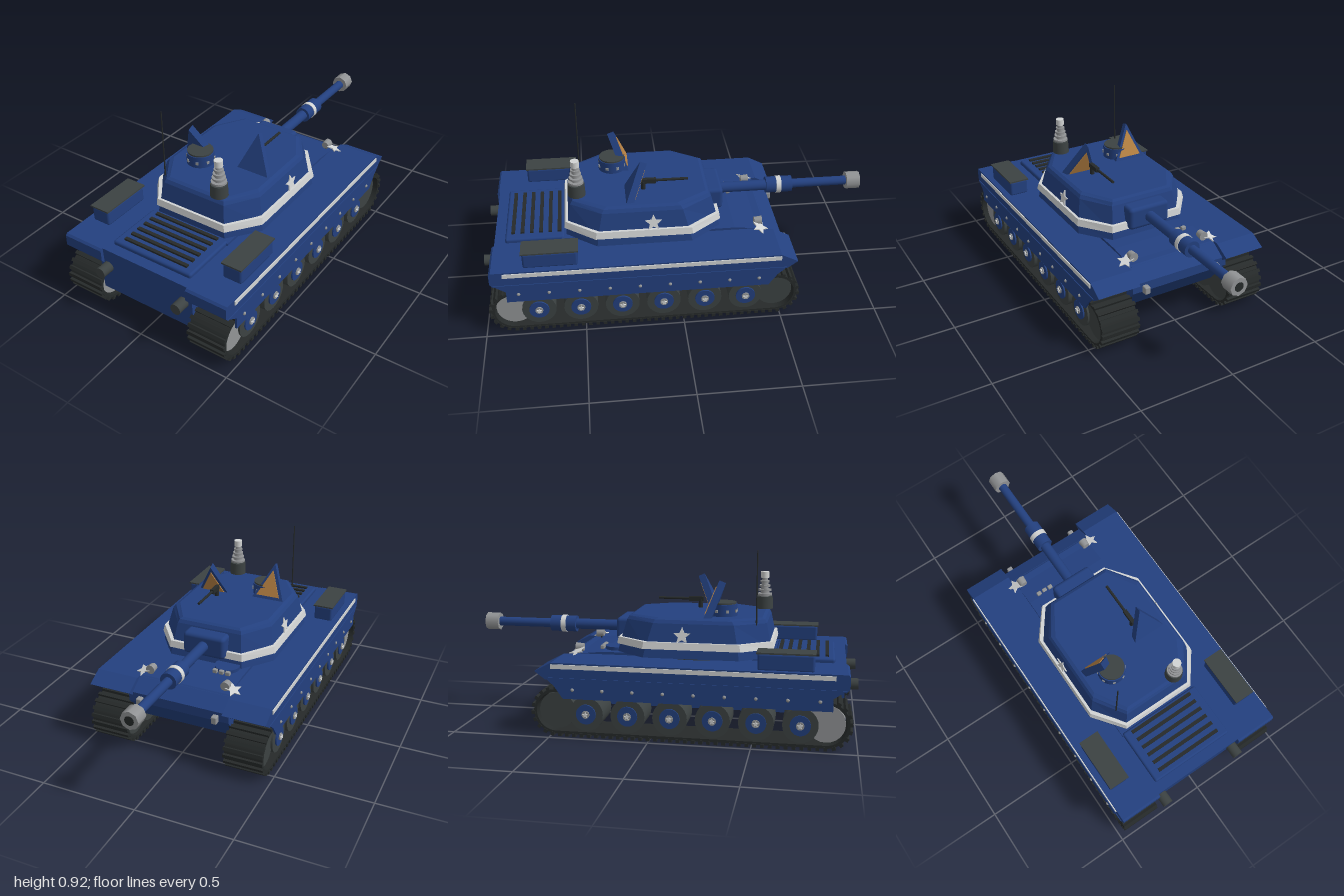
import * as THREE from 'three';
import { RoundedBoxGeometry } from 'three/addons/geometries/RoundedBoxGeometry.js';

const mat = (name, color) => Object.assign(new THREE.MeshStandardMaterial({ color }), { name });

export function createModel() {
  const blue = mat('navy paint', 0x23407f);
  const rubber = mat('dark rubber', 0x3c4242);
  const iron = mat('track iron', 0x262a2a);
  const steel = mat('steel', 0x929496);
  const white = mat('pale paint', 0xd2d4d4);
  const tan = mat('tan lining', 0xb98344);

  const model = new THREE.Group();
  model.name = 'tank';

  const add = (name, geo, material, x = 0, y = 0, z = 0) => {
    const m = new THREE.Mesh(geo, material);
    m.name = name;
    m.position.set(x, y, z);
    model.add(m);
    return m;
  };
  const box = (name, material, w, h, d, x, y, z) => add(name, new THREE.BoxGeometry(w, h, d), material, x, y, z);
  const rbox = (name, material, w, h, d, x, y, z, r = 0.012) =>
    add(name, new RoundedBoxGeometry(w, h, d, 2, r), material, x, y, z);
  // Cylinders lying along z, along x, or standing
  const cyl = (name, material, axis, r, len, x, y, z, r2 = r, sides = 24) => {
    const g = new THREE.CylinderGeometry(r2, r, len, sides);
    if (axis === 'z') g.rotateX(-Math.PI / 2);
    if (axis === 'x') g.rotateZ(Math.PI / 2);
    return add(name, g, material, x, y, z);
  };
  const shapeOf = pts => new THREE.Shape(pts.map(p => new THREE.Vector2(p[0], p[1])));
  // Side profile of [z, y] points swept between x0 and x1
  const prism = (name, material, pts, x0, x1) => {
    const g = new THREE.ExtrudeGeometry(shapeOf(pts), { depth: x1 - x0, bevelEnabled: false });
    g.rotateY(-Math.PI / 2);
    g.translate(x1, 0, 0);
    return add(name, g, material);
  };
  // Stack of chamfered rectangles [y, halfWidth, zMin, zMax], capped at both ends
  const loft = (name, material, rings) => {
    const pts = rings.map(([y, w, a, b]) => {
      const c = 0.115 * w / 0.31, d = 0.155;
      return [[w - c, a], [w, a + d], [w, b - d], [w - c, b], [c - w, b], [-w, b - d], [-w, a + d], [c - w, a]]
        .map(([x, z]) => [x, y, z]);
    });
    const pos = [];
    const tri = (...v) => v.forEach(p => pos.push(...p));
    for (let k = 0; k < pts.length - 1; k++) {
      for (let i = 0; i < 8; i++) {
        const j = (i + 1) % 8, A = pts[k], B = pts[k + 1];
        tri(A[i], B[i], B[j]);
        tri(A[i], B[j], A[j]);
      }
    }
    const lo = pts[0], hi = pts[pts.length - 1];
    for (let i = 1; i < 7; i++) {
      tri(lo[0], lo[i], lo[i + 1]);
      tri(hi[0], hi[i + 1], hi[i]);
    }
    const g = new THREE.BufferGeometry();
    g.setAttribute('position', new THREE.Float32BufferAttribute(pos, 3));
    g.computeVertexNormals();
    return add(name, g, material);
  };
  const star = (name, r, material, x, y, z) => {
    const pts = [];
    for (let i = 0; i < 10; i++) {
      const a = Math.PI / 2 + i * Math.PI / 5, q = i % 2 ? r * 0.45 : r;
      pts.push([Math.cos(a) * q, Math.sin(a) * q]);
    }
    return add(name, new THREE.ExtrudeGeometry(shapeOf(pts), { depth: 0.006, bevelEnabled: false }), material, x, y, z);
  };

  // Hull, engine deck with grille, driver's hatch
  prism('hull', blue, [[0.93, 0.125], [0.94, 0.375], [-0.45, 0.375], [-0.54, 0.32], [-0.54, 0.27], [-0.42, 0.125]], -0.272, 0.272);
  prism('frontDeck', blue, [[0.6, 0.37], [0.6, 0.388], [-0.29, 0.388], [-0.46, 0.37]], -0.235, 0.235);
  rbox('engineDeck', blue, 0.46, 0.04, 0.3, 0, 0.377, 0.735);
  for (let i = 0; i < 6; i++) box('grilleSlat', iron, 0.37, 0.012, 0.018, 0, 0.401, 0.61 + i * 0.047);
  cyl('turretRing', rubber, 'y', 0.29, 0.03, 0, 0.378, 0.18, 0.29, 32);
  cyl('driverHatch', blue, 'y', 0.065, 0.025, -0.13, 0.393, -0.23);
  for (let i = -1; i <= 1; i++) rbox('periscope', steel, 0.026, 0.022, 0.02, -0.13 + i * 0.035, 0.4, -0.305, 0.005);

  // Running gear path: straight runs joined by two half circles
  const R = 0.113, zr = 0.85, zf = -0.47, cy = 0.127, run = zr - zf;
  const total = 2 * run + 2 * Math.PI * R;
  const trackPoint = d => {
    const arc = Math.PI * R;
    if (d < run) return [zr - d, cy - R, -Math.PI / 2];
    if ((d -= run) < arc) { const a = -Math.PI / 2 - d / R; return [zf + R * Math.cos(a), cy + R * Math.sin(a), a]; }
    if ((d -= arc) < run) return [zf + d, cy + R, Math.PI / 2];
    const a = Math.PI / 2 - (d - run) / R;
    return [zr + R * Math.cos(a), cy + R * Math.sin(a), a];
  };
  const loop = r => (p => {
    p.absarc(zr, cy, r, -Math.PI / 2, Math.PI / 2, false);
    p.absarc(zf, cy, r, Math.PI / 2, Math.PI * 1.5, false);
    return p;
  });

  for (const s of [-1, 1]) {
    // Track band with cleats
    const band = loop(R)(new THREE.Shape());
    band.holes.push(loop(R - 0.014)(new THREE.Path()));
    const bg = new THREE.ExtrudeGeometry(band, { depth: 0.2, bevelEnabled: false, curveSegments: 18 });
    bg.rotateY(-Math.PI / 2);
    add('track', bg, iron, s * 0.367 + 0.1, 0, 0);
    const count = 90;
    for (let i = 0; i < count; i++) {
      const [z, y, a] = trackPoint(i * total / count);
      box('trackCleat', iron, 0.207, 0.018, 0.018, s * 0.367, y + 0.004 * Math.sin(a), z + 0.004 * Math.cos(a)).rotation.x = -a;
    }
    // Wheels
    cyl('driveSprocket', steel, 'x', 0.092, 0.16, s * 0.36, cy, zr);
    cyl('idlerWheel', rubber, 'x', 0.092, 0.16, s * 0.36, cy, zf);
    for (let i = 0; i < 6; i++) {
      const z = 0.73 - i * 0.21;
      cyl('roadWheel', rubber, 'x', 0.086, 0.17, s * 0.365, 0.115, z);
      cyl('wheelDisc', blue, 'x', 0.05, 0.18, s * 0.368, 0.115, z);
      cyl('wheelHub', steel, 'x', 0.02, 0.19, s * 0.369, 0.115, z, 0.02, 12);
      star('hubStar', 0.015, white, s * 0.464, 0.115, z).rotation.y = s * Math.PI / 2;
    }
    // Fender, side skirt, stripe and rivets
    const x0 = s > 0 ? 0.25 : -0.475, x1 = s > 0 ? 0.475 : -0.25;
    prism('fender', blue, [[0.94, 0.29], [0.955, 0.31], [0.955, 0.365], [0.945, 0.375], [-0.49, 0.375], [-0.575, 0.33], [-0.52, 0.29]], x0, x1);
    prism('sideSkirt', blue, [[0.88, 0.197], [0.88, 0.26], [0.94, 0.3], [-0.52, 0.3], [-0.475, 0.26], [-0.43, 0.197]],
      s > 0 ? 0.468 : -0.479, s > 0 ? 0.479 : -0.468);
    box('sideStripe', white, 0.008, 0.022, 1.38, s * 0.476, 0.357, 0.2);
    for (let i = 0; i < 9; i++)
      add('skirtRivet', new THREE.SphereGeometry(0.009, 8, 6), steel, s * 0.479, 0.243, 0.82 - i * 0.15);
    // Stowage box
    rbox('stowageBox', blue, 0.103, 0.085, 0.27, s * 0.392, 0.412, 0.655);
    box('stowageLid', rubber, 0.11, 0.008, 0.28, s * 0.392, 0.456, 0.655);
    // Exhaust, tow hook, headlight
    cyl('exhaust', rubber, 'z', 0.028, 0.07, s * 0.225, 0.275, 0.965);
    rbox('towHook', steel, 0.03, 0.04, 0.04, s * 0.205, 0.285, -0.55, 0.006);
    cyl('headlightStalk', iron, 'y', 0.005, 0.04, s * 0.205, 0.38, -0.41, 0.005, 8);
    cyl('headlight', steel, 'z', 0.02, 0.04, s * 0.205, 0.403, -0.415, 0.024, 16);
    const badge = star('deckStar', 0.045, white, s * 0.245, 0.386, -0.42);
    badge.rotation.set(-Math.PI / 2 - 0.3, s * 0.3, 0);
    // Turret star
    const ts = star('turretStar', 0.045, white, s * 0.299, 0.497, 0.135);
    ts.rotation.set(0, s * Math.PI / 2, 0);
    ts.rotateX(-0.2);
  }

  // Turret with pale band
  loft('turret', blue, [[0.385, 0.318, -0.215, 0.575], [0.43, 0.31, -0.205, 0.57], [0.555, 0.283, -0.17, 0.545], [0.572, 0.272, -0.16, 0.535], [0.58, 0.255, -0.145, 0.52]]);
  loft('turretBand', white, [[0.43, 0.323, -0.218, 0.583], [0.465, 0.316, -0.212, 0.576]]);

  // Gun
  rbox('mantlet', blue, 0.23, 0.12, 0.1, 0, 0.488, -0.195, 0.02);
  cyl('barrelBase', blue, 'z', 0.028, 0.3, 0, 0.488, -0.36);
  cyl('barrel', blue, 'z', 0.024, 0.46, 0, 0.488, -0.71);
  cyl('boreSleeve', blue, 'z', 0.043, 0.14, 0, 0.488, -0.56);
  cyl('boreBand', white, 'z', 0.046, 0.026, 0, 0.488, -0.558);
  cyl('muzzleBrake', steel, 'z', 0.047, 0.072, 0, 0.488, -0.964, 0.047, 8);
  cyl('muzzleBore', iron, 'z', 0.024, 0.004, 0, 0.488, -0.999, 0.024, 16);

  // Commander's cupola
  cyl('cupola', blue, 'y', 0.071, 0.065, -0.12, 0.608, 0.32);
  cyl('cupolaLid', rubber, 'y', 0.066, 0.012, -0.12, 0.643, 0.32);
  for (let i = 0; i < 8; i++) {
    const a = (i + 0.5) * Math.PI / 4;
    box('visionBlock', steel, 0.014, 0.014, 0.014, -0.12 + 0.068 * Math.sin(a), 0.607, 0.32 + 0.068 * Math.cos(a)).rotation.y = a;
  }

  // Triangular ears, lined on the gun side, one tipped back and one forward
  const ear = (name, x, lean, apex) => {
    const g = new THREE.Group();
    g.name = name;
    const tri = k => shapeOf([[-0.09 * k, 0], [0.09 * k, 0], [apex * k, 0.2 * k]]);
    const part = (label, k, depth, m, y, z) => {
      const p = new THREE.Mesh(new THREE.ExtrudeGeometry(tri(k), { depth, bevelEnabled: false }), m);
      p.name = label;
      p.position.set(0, y, z);
      g.add(p);
    };
    part('earShell', 1, 0.036, blue, 0, -0.018);
    part('earLining', 0.72, 0.006, tan, 0.02, -0.023);
    g.position.set(x, 0.57, 0.25);
    g.rotation.x = lean;
    model.add(g);
  };
  ear('rightEar', -0.16, 0.36, -0.015);
  ear('leftEar', 0.155, -0.42, -0.015);

  // Roof machine gun
  cyl('gunMount', iron, 'y', 0.012, 0.05, 0.11, 0.6, 0.17, 0.012, 12);
  box('gunReceiver', iron, 0.02, 0.024, 0.08, 0.11, 0.626, 0.145);
  cyl('gunTube', iron, 'z', 0.007, 0.2, 0.11, 0.627, 0.04, 0.007, 10);

  // Stacked beacon
  cyl('beaconBase', rubber, 'y', 0.045, 0.065, 0.13, 0.615, 0.51, 0.042);
  cyl('beaconCore', steel, 'y', 0.025, 0.11, 0.13, 0.695, 0.51, 0.014);
  for (let i = 0; i < 4; i++) cyl('beaconRing', steel, 'y', 0.039 - i * 0.005, 0.01, 0.13, 0.658 + i * 0.0225, 0.51);
  cyl('beaconCap', white, 'y', 0.022, 0.033, 0.13, 0.762, 0.51);

  // Antenna
  cyl('antenna', iron, 'y', 0.004, 0.42, -0.21, 0.71, 0.495, 0.003, 8);

  return model;
}
